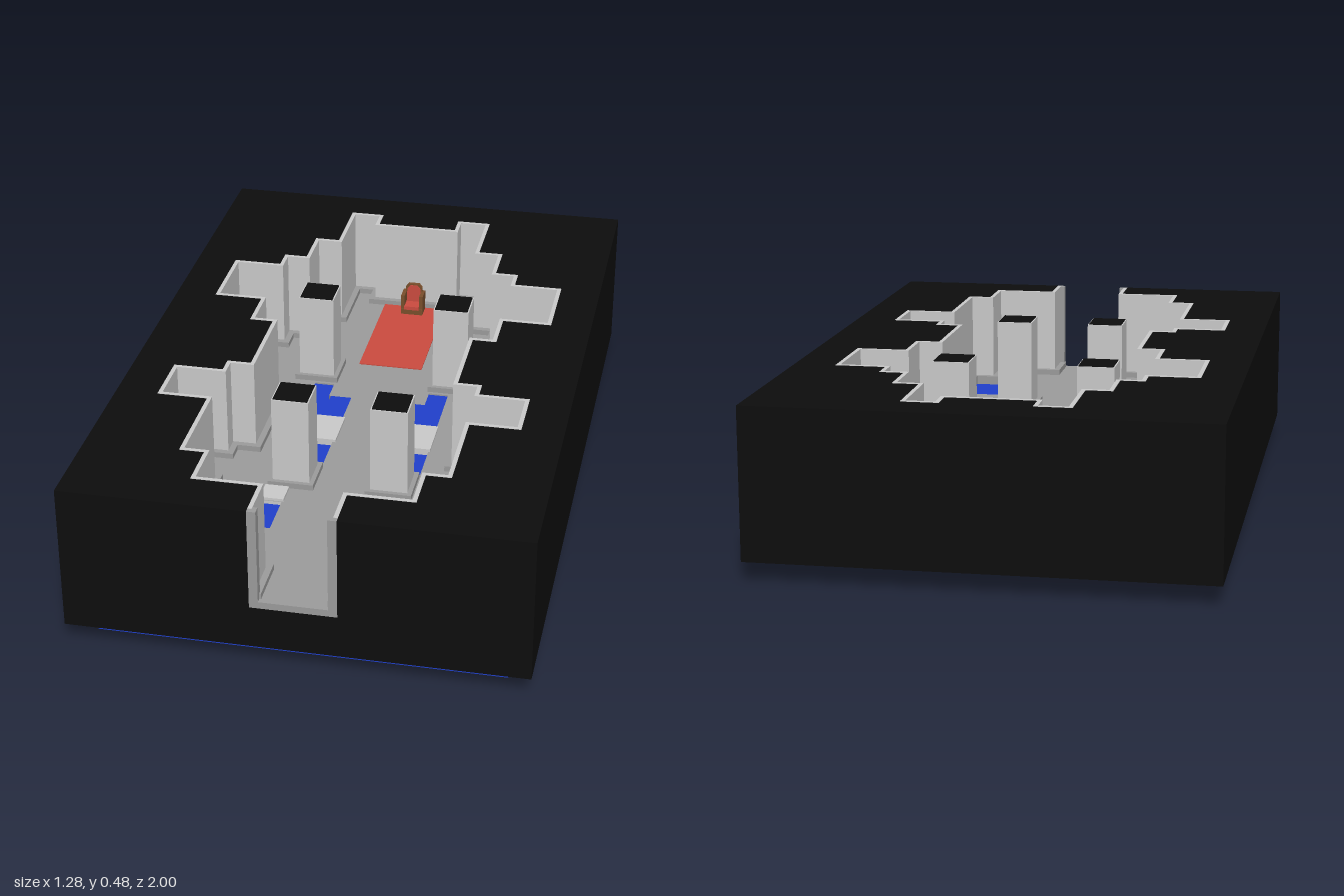
import * as THREE from 'three';

const mat = (name, color) => {
  const m = new THREE.MeshStandardMaterial({ color });
  m.name = name;
  return m;
};

export function createModel() {
  const black = mat('black rock', 0x0d0d0d);
  const stone = mat('grey stone', 0x9c9c9c);
  const pale = mat('pale stone', 0xcbcbcb);
  const blue = mat('blue water', 0x2040cc);
  const red = mat('red cloth', 0xcc4c40);
  const wood = mat('brown wood', 0x7a4f2c);
  const group = new THREE.Group();

  const add = (name, geo, m, parent = group) => {
    const mesh = new THREE.Mesh(geo, m);
    mesh.name = name;
    parent.add(mesh);
    return mesh;
  };
  // Box given by its two extreme corners
  const box = (name, m, x0, x1, y0, y1, z0, z1, parent) =>
    add(name, new THREE.BoxGeometry(x1 - x0, y1 - y0, z1 - z0)
      .translate((x0 + x1) / 2, (y0 + y1) / 2, (z0 + z1) / 2), m, parent);
  // Upright prism from plan points [x, z]
  const plan = pts => pts.map(([x, z]) => new THREE.Vector2(x, -z));
  const prism = (name, m, pts, y0, y1, holes = []) => {
    const shape = new THREE.Shape(plan(pts));
    holes.forEach(h => shape.holes.push(new THREE.Path(plan(h))));
    const geo = new THREE.ExtrudeGeometry(shape, { depth: y1 - y0, bevelEnabled: false });
    return add(name, geo.rotateX(-Math.PI / 2).translate(0, y0, 0), m);
  };
  const mirror = pts => pts.map(([x, z]) => [-x, z]).reverse();

  // Plan of the hall: left half from the entrance to the back, then mirrored
  const half = [
    [-0.12, 1], [-0.12, 0.87], [-0.305, 0.87], [-0.305, 0.73], [-0.375, 0.73], [-0.375, 0.44],
    [-0.52, 0.44], [-0.52, 0.265], [-0.375, 0.265], [-0.375, 0.21], [-0.305, 0.21], [-0.305, -0.06],
    [-0.375, -0.06], [-0.375, -0.2], [-0.52, -0.2], [-0.52, -0.45], [-0.375, -0.45], [-0.375, -0.52],
    [-0.305, -0.52], [-0.305, -0.66], [-0.23, -0.66], [-0.23, -0.88], [-0.125, -0.88], [-0.125, -0.81],
  ];
  const outline = [...half, ...mirror(half)];

  // Strip of given thickness that follows the walls
  const band = t => {
    const path = outline.map(([x, z]) => [x, Math.min(z, 0.985)]);
    const normal = i => {
      if (i < 0 || i >= path.length - 1) return [0, 0];
      const dx = path[i + 1][0] - path[i][0], dz = path[i + 1][1] - path[i][1];
      const l = Math.hypot(dx, dz);
      return [-dz / l, dx / l];
    };
    const inner = path.map(([x, z], i) => {
      const a = normal(i - 1), b = normal(i);
      return [x + t * (a[0] + b[0]), z + t * (a[1] + b[1])];
    });
    return [...path, ...inner.reverse()];
  };

  // Rock block, open at the top and front, on a water slab
  box('rockBase', black, -0.64, 0.64, 0.055, 0.18, -1, 1);
  prism('rockSurround', black,
    [...outline, [0.64, 1], [0.64, -1], [-0.64, -1], [-0.64, 1]], 0.18, 0.48);
  box('water', blue, -0.57, 0.57, 0, 0.185, -0.285, 0.93);

  // Floor with pools cut through to the water
  const pools = [
    [[-0.21, -0.21], [-0.15, -0.21], [-0.15, -0.135], [-0.08, -0.135], [-0.08, 0.275], [-0.21, 0.275]],
    [[-0.355, 0.5], [-0.15, 0.5], [-0.15, 0.64], [-0.22, 0.64], [-0.22, 0.84], [-0.28, 0.84],
      [-0.28, 0.715], [-0.355, 0.715]],
  ];
  prism('floor', stone, outline, 0.18, 0.2, [...pools, ...pools.map(mirror)]);

  // Wall lining and skirting
  prism('wallLining', pale, band(0.012), 0.19, 0.481);
  prism('skirting', stone, band(0.03), 0.19, 0.217);

  for (const s of [-1, 1]) {
    const side = new THREE.Group();
    side.name = s < 0 ? 'rightSide' : 'leftSide';
    group.add(side);
    const across = (name, m, xc, w, y0, y1, z0, z1) =>
      box(name, m, s * xc - w / 2, s * xc + w / 2, y0, y1, z0, z1, side);

    across('entranceJamb', stone, 0.1075, 0.025, 0.19, 0.48, 0.975, 1);
    across('bridge', pale, 0.143, 0.145, 0.188, 0.208, 0, 0.14);
    across('smallBridge', pale, 0.18, 0.07, 0.188, 0.208, 0.425, 0.497);

    // Pillars with a plinth and a dark top
    for (const [x, z] of [[0.21, -0.287], [0.143, 0.355]]) {
      across('pillarPlinth', stone, x, 0.134, 0.19, 0.217, z - 0.067, z + 0.067);
      across('pillar', pale, x, 0.108, 0.2, 0.478, z - 0.054, z + 0.054);
      across('pillarTop', black, x, 0.1, 0.476, 0.481, z - 0.05, z + 0.05);
    }
  }

  // Carpet and throne
  box('carpet', red, -0.1, 0.1, 0.198, 0.203, -0.785, -0.355);
  const throne = new THREE.Group();
  throne.name = 'throne';
  group.add(throne);
  box('throneSeat', wood, -0.035, 0.035, 0.2, 0.222, -0.778, -0.722, throne);
  box('throneCushion', red, -0.024, 0.024, 0.22, 0.232, -0.768, -0.72, throne);
  for (const s of [-1, 1]) {
    box('throneArm', wood, s * 0.03 - 0.006, s * 0.03 + 0.006, 0.2, 0.268, -0.778, -0.726, throne);
  }
  const back = (w, top) => new THREE.Shape(plan([
    [-w, -0.2], [w, -0.2], [w, 0.012 - top], [w - 0.01, -top], [0.01 - w, -top], [-w, 0.012 - top],
  ]));
  const slab = (w, top, depth, z) => new THREE.ExtrudeGeometry(back(w, top),
    { depth, bevelEnabled: false }).translate(0, 0, z);
  add('throneBack', slab(0.027, 0.293, 0.012, -0.778), wood, throne);
  add('throneBackCushion', slab(0.022, 0.289, 0.008, -0.77), red, throne);

  return group;
}
